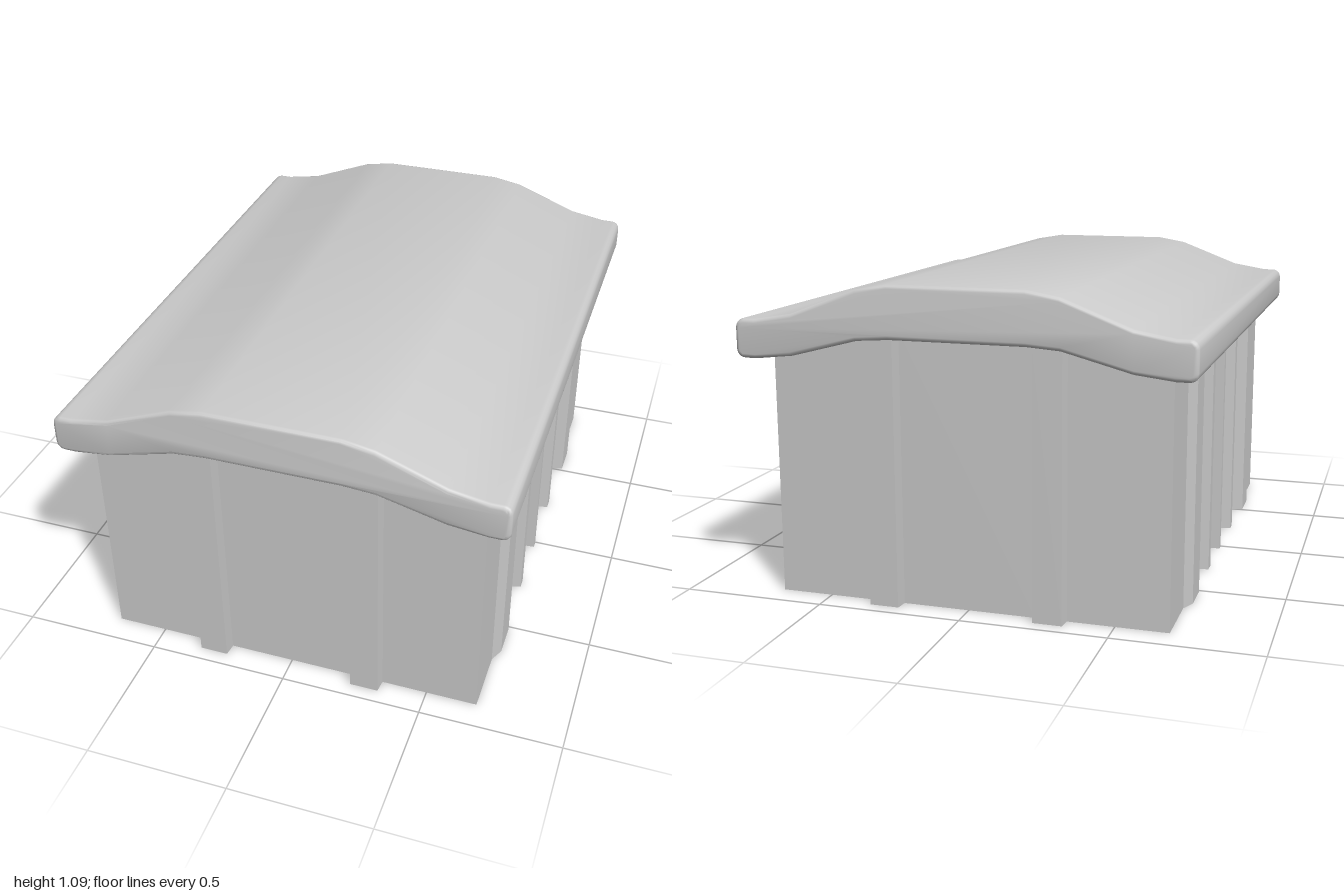
import * as THREE from 'three';
import { toCreasedNormals } from 'three/addons/utils/BufferGeometryUtils.js';

const material = new THREE.MeshStandardMaterial({ color: 0xcccccc });

// Ribs of the end walls: [x, z], from the -x corner to the +x corner
const endWall = [
  [-0.34, 0.905], [-0.335, 0.95], [-0.235, 0.95], [-0.23, 0.905],
  [0.23, 0.905], [0.235, 0.95], [0.335, 0.95], [0.34, 0.905], [0.68, 0.905],
];

// Wide and narrow ribs of the side walls: [x, z], from front to back
const sideWall = [
  [0.68, 0.68], [0.703, 0.63], [0.703, 0.513], [0.66, 0.5],
  [0.66, 0.283], [0.695, 0.275], [0.695, 0.235], [0.66, 0.225],
  [0.66, 0.033], [0.695, 0.03], [0.695, 0.005], [0.66, -0.005],
  [0.66, -0.225], [0.695, -0.235], [0.695, -0.275], [0.66, -0.283],
  [0.66, -0.5], [0.703, -0.513], [0.703, -0.63], [0.68, -0.68], [0.68, -0.905],
];

// Ribbed body: half the footprint, repeated by a half turn, pulled upwards
function createBody() {
  const half = [...endWall, ...sideWall];
  const footprint = [...half, ...half.map(([x, z]) => [-x, -z])];
  const shape = new THREE.Shape(footprint.map(([x, z]) => new THREE.Vector2(x, -z)));
  const geometry = new THREE.ExtrudeGeometry(shape, { depth: 0.93, bevelEnabled: false });
  geometry.rotateX(-Math.PI / 2);
  const body = new THREE.Mesh(toCreasedNormals(geometry, 0.3), material);
  body.name = 'ribbedBody';
  return body;
}

// Arched lid: curved cross-section with rounded eaves, run along z
function createLid() {
  const top = [[0.7, 0.962], [0.57, 0.984], [0.34, 1.072], [0.23, 1.091]];
  const under = [[0.23, 0.913], [0.34, 0.905], [0.57, 0.845], [0.7, 0.83]];
  const mirror = (points) => points.map(([x, y]) => [-x, y]).reverse();
  const r = 0.03, edge = 0.77;
  const eave = [];
  for (const [cy, start] of [[0.83 + r, -Math.PI / 2], [0.962 - r, 0]]) {
    for (let i = 0; i <= 4; i++) {
      const a = start + (i / 4) * (Math.PI / 2);
      eave.push([edge - r + r * Math.cos(a), cy + r * Math.sin(a)]);
    }
  }
  const outline = [...under, ...eave, ...top, ...mirror(top), ...mirror(eave), ...mirror(under)];
  const shape = new THREE.Shape(outline.map(([x, y]) => new THREE.Vector2(x, y)));
  const bevel = 0.014;
  const geometry = new THREE.ExtrudeGeometry(shape, {
    depth: 2 - 2 * bevel, bevelThickness: bevel, bevelSize: bevel,
    bevelOffset: -bevel, bevelSegments: 3,
  });
  geometry.translate(0, 0, bevel - 1);
  const lid = new THREE.Mesh(toCreasedNormals(geometry, 0.7), material);
  lid.name = 'archedLid';
  return lid;
}

export function createModel() {
  const model = new THREE.Group();
  model.name = 'liddedBox';
  model.add(createBody(), createLid());
  return model;
}
